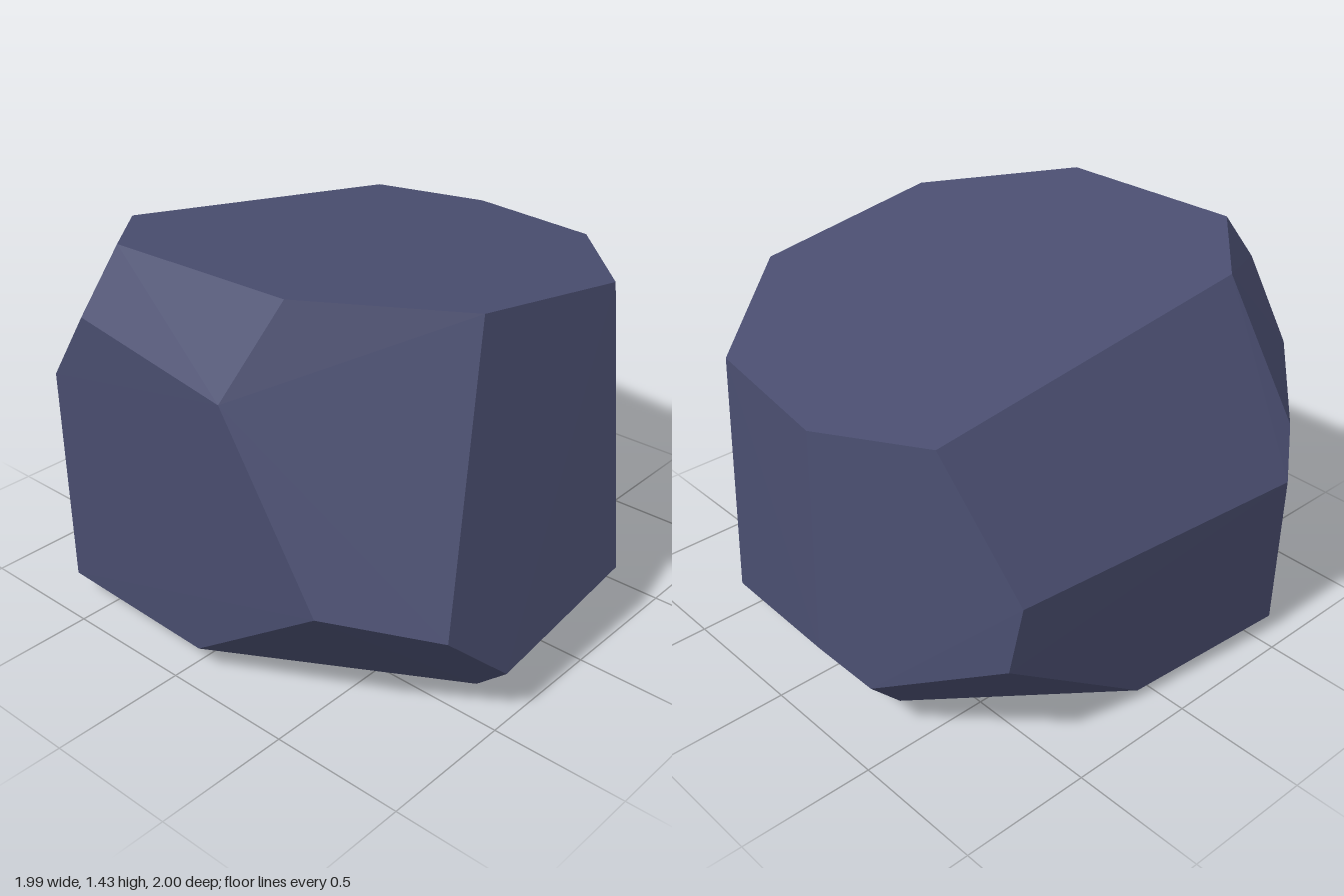
import * as THREE from 'three';
import { ConvexGeometry } from 'three/addons/geometries/ConvexGeometry.js';

export function createModel() {
  const group = new THREE.Group();
  group.name = 'boulder';

  const slate = new THREE.MeshStandardMaterial({ color: 0x4a4e70 });
  slate.name = 'slate blue stone';

  // Rings of corners, each going around the stone
  const topRim = [
    [-0.32, 1.36, 0.76], [0.39, 1.25, 0.78], [0.88, 1.175, 0.34], [0.95, 1.165, -0.21],
    [0.76, 1.195, -0.6], [-0.51, 1.39, -0.65], [-0.8, 1.435, -0.38], [-0.76, 1.43, 0.34],
  ];
  const shoulder = [
    [-1.0, 1.15, 0.29], [-0.97, 1.23, -0.38], [-0.95, 0.955, -0.58],
    [-0.56, 0.9, -0.92], [-0.47, 0.74, -1.0], [0.66, 0.71, -0.88],
  ];
  const belly = [
    [0.69, 0.46, -0.85], [0.92, 0.26, -0.43], [0.99, 0.36, -0.25], [0.91, 0.26, 0.34],
    [0.22, 0.27, 0.98], [-0.45, 0.2, 1.0], [-0.7, 0.43, 0.95], [-0.98, 0.53, 0.65],
  ];
  const base = [
    [-0.42, 0.07, 0.86], [0.59, 0.01, 0.65], [0.72, 0, 0.53], [0.71, 0.005, -0.31],
    [0.08, 0.04, -0.86], [-0.56, 0.075, -0.93], [-0.91, 0.1, -0.63], [-0.93, 0.1, 0.05],
  ];

  // Flat-faced convex stone through all corners
  const corners = [...topRim, ...shoulder, ...belly, ...base].map((p) => new THREE.Vector3(...p));
  const stone = new THREE.Mesh(new ConvexGeometry(corners), slate);
  stone.name = 'stone';
  group.add(stone);
  return group;
}
